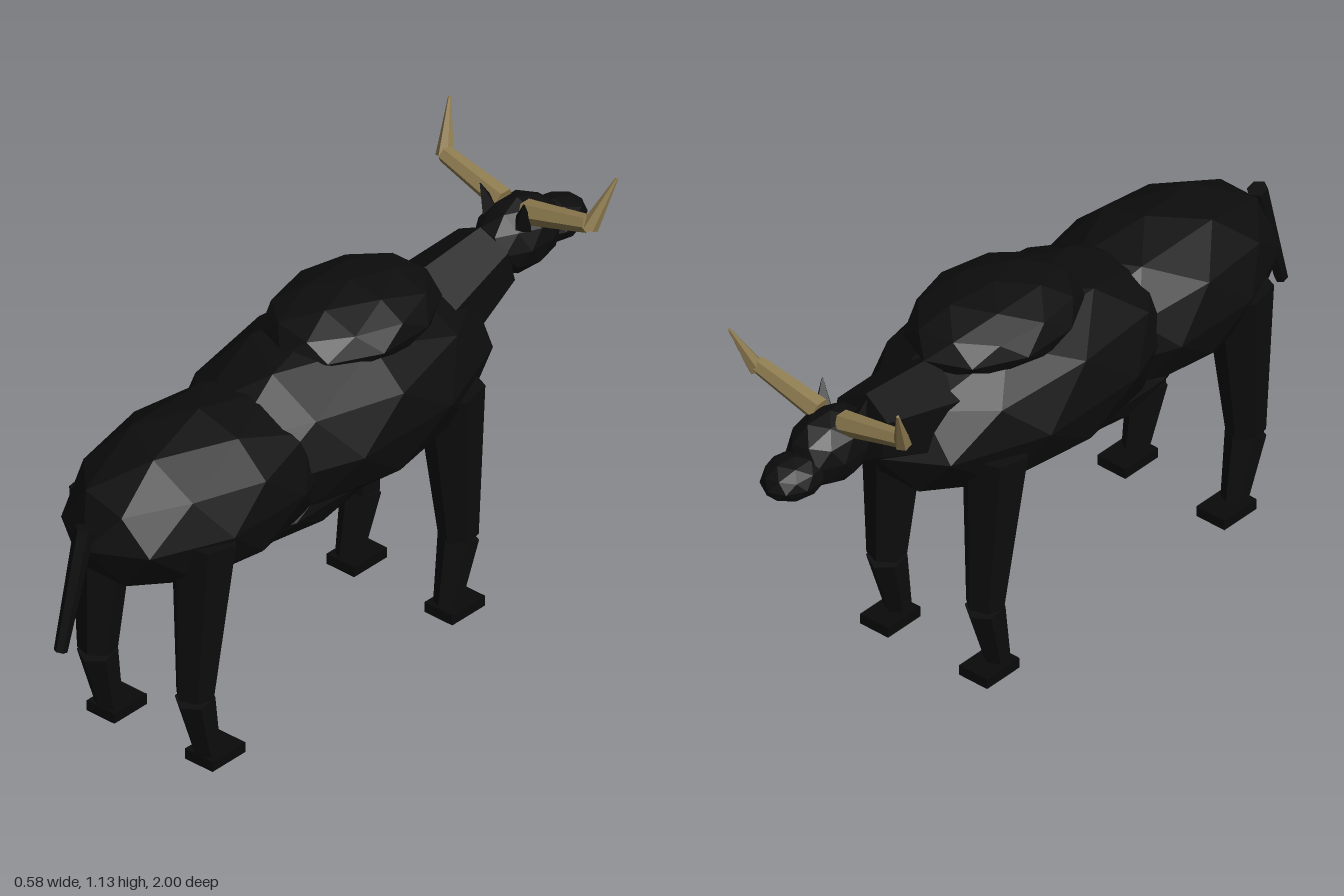
import * as THREE from 'three';

const mat = (name, color) => {
  const m = new THREE.MeshStandardMaterial({ color, flatShading: true });
  m.name = name;
  return m;
};

export function createModel() {
  const hide = mat('black hide', 0x0d0d0d);
  const hoofMat = mat('dark hoof', 0x0a0a0a);
  const hornMat = mat('tan horn', 0x8f7c50);
  const model = new THREE.Group();
  model.name = 'ox';

  const add = (name, geo, material, pos, parent = model) => {
    const mesh = new THREE.Mesh(geo, material);
    mesh.name = name;
    mesh.position.set(...pos);
    parent.add(mesh);
    return mesh;
  };

  // Low-poly ellipsoid with a pole at the top
  const blob = (name, pos, radii) => {
    const geo = new THREE.IcosahedronGeometry(1, 1);
    geo.rotateX(-Math.atan2(0.8507, 0.5257));
    geo.rotateY(Math.PI / 2);
    geo.scale(...radii);
    return add(name, geo, hide, pos);
  };

  // Tapered limb running from a to b
  const limb = (name, a, b, ra, rb, material = hide, parent = model, sides = 6) => {
    const va = new THREE.Vector3(...a), vb = new THREE.Vector3(...b);
    const dir = vb.clone().sub(va);
    const geo = new THREE.CylinderGeometry(rb, ra, dir.length(), sides);
    const mesh = add(name, geo, material, va.add(vb).multiplyScalar(0.5).toArray(), parent);
    mesh.quaternion.setFromUnitVectors(new THREE.Vector3(0, 1, 0), dir.normalize());
    return mesh;
  };

  // Body
  blob('chest', [0, 0.725, -0.045], [0.284, 0.245, 0.54]);
  blob('hindquarters', [0, 0.7, 0.455], [0.258, 0.222, 0.44]);
  blob('belly', [0, 0.585, 0.18], [0.21, 0.115, 0.4]);
  blob('hump', [0, 0.93, -0.125], [0.2, 0.102, 0.27]);

  // Neck and head
  limb('neck', [0, 0.79, -0.4], [0, 0.855, -0.645], 0.142, 0.098);
  blob('head', [0, 0.868, -0.76], [0.095, 0.105, 0.135]);
  blob('muzzle', [0, 0.845, -0.898], [0.077, 0.057, 0.1]);

  // Tail
  limb('tail', [0, 0.77, 0.89], [0, 0.44, 0.982], 0.028, 0.018);

  for (const [side, s] of [['left', 1], ['right', -1]]) {
    // Horns and ears
    const horn = new THREE.Group();
    horn.name = side + 'Horn';
    model.add(horn);
    limb('hornBase', [s * 0.04, 0.95, -0.752], [s * 0.245, 1.0, -0.758], 0.034, 0.024, hornMat, horn);
    limb('hornTip', [s * 0.248, 0.99, -0.76], [s * 0.286, 1.125, -0.822], 0.024, 0.004, hornMat, horn);
    limb(side + 'Ear', [s * 0.055, 0.93, -0.72], [s * 0.075, 1.01, -0.703], 0.03, 0.002, hide, model, 4);

    // Legs: hip or shoulder z, knee z, ankle z, hoof z
    for (const [end, top, knee, ankle, hoof] of [
      ['Front', -0.315, -0.35, -0.305, -0.335],
      ['Hind', 0.625, 0.655, 0.61, 0.58],
    ]) {
      const leg = new THREE.Group();
      leg.name = side + end + 'Leg';
      model.add(leg);
      limb('upperLeg', [s * 0.17, 0.69, top], [s * 0.167, 0.22, knee], 0.09, 0.052, hide, leg);
      limb('lowerLeg', [s * 0.167, 0.215, knee], [s * 0.168, 0.03, ankle], 0.054, 0.036, hide, leg);
      add('hoof', new THREE.BoxGeometry(0.095, 0.03, 0.125), hoofMat, [s * 0.168, 0.015, hoof], leg);
    }
  }
  return model;
}
